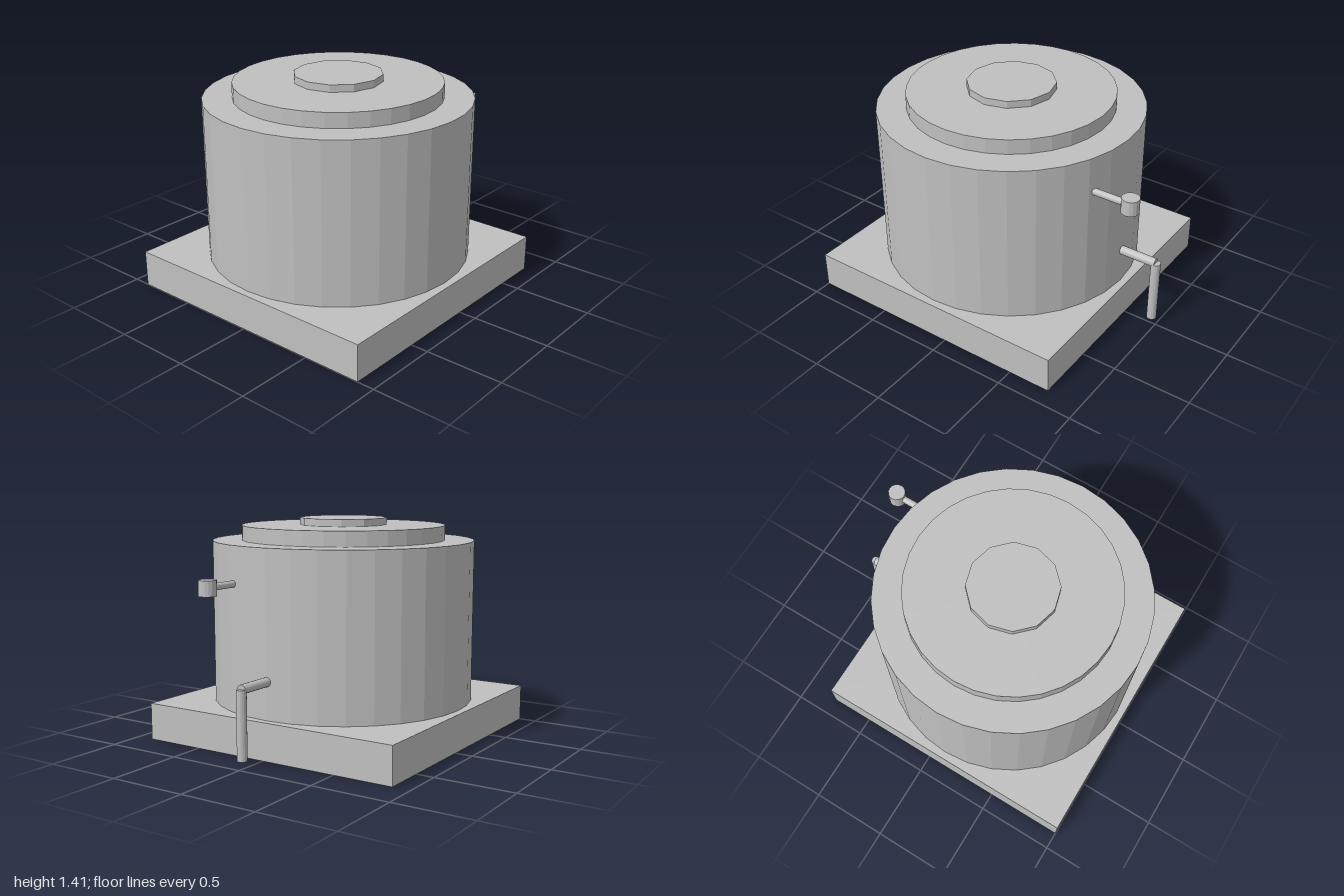
import * as THREE from 'three';

export function createModel() {
  const model = new THREE.Group();
  const grey = new THREE.MeshStandardMaterial({ color: 0xc0c0c0 });
  grey.name = 'plain grey';
  grey.flatShading = true;
  const tankX = -0.112;

  function add(name, geometry, x, y, z) {
    const mesh = new THREE.Mesh(geometry, grey);
    mesh.name = name;
    mesh.position.set(x, y, z);
    model.add(mesh);
    return mesh;
  }

  // Upright cylinder between two heights
  function upright(name, radius, y0, y1, sides, x, z = 0) {
    return add(name, new THREE.CylinderGeometry(radius, radius, y1 - y0, sides), x, (y0 + y1) / 2, z);
  }

  // Horizontal rod along x
  function rod(name, radius, x0, x1, y, z) {
    const geometry = new THREE.CylinderGeometry(radius, radius, x1 - x0, 16).rotateZ(Math.PI / 2);
    return add(name, geometry, (x0 + x1) / 2, y, z);
  }

  // Square plinth
  add('base', new THREE.BoxGeometry(1.776, 0.236, 1.776), tankX, 0.118, 0);

  // Stepped round tank
  upright('tank', 0.842, 0.236, 1.265, 32, tankX);
  upright('lid', 0.655, 1.265, 1.36, 32, tankX);
  upright('hatch', 0.28, 1.36, 1.406, 12, tankX);

  // Drain pipe with its downward leg
  rod('drainPipe', 0.029, 0.65, 0.969, 0.472, 0);
  upright('drainLeg', 0.031, 0.05, 0.472, 16, 0.969);

  // Side stem with a round knob
  rod('knobStem', 0.022, 0.62, 0.9, 1.033, 0.28);
  upright('knob', 0.055, 0.985, 1.08, 16, 0.916, 0.28);

  return model;
}
